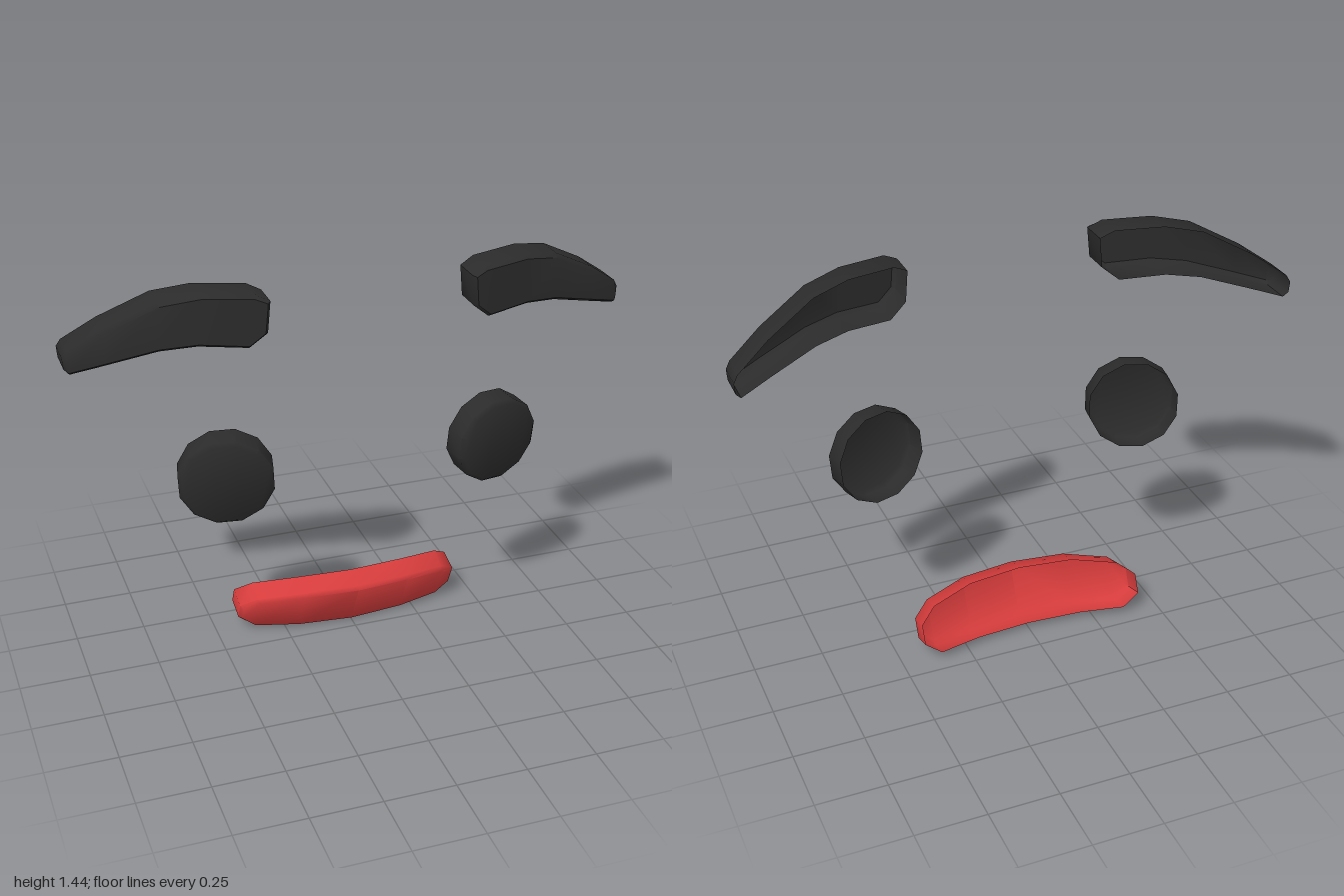
import * as THREE from 'three';
import { toCreasedNormals } from 'three/addons/utils/BufferGeometryUtils.js';

// Open-backed shell: a wall swept from a back rim to a bevelled front cap.
// outline: counter-clockwise [x, y] loop where point i lies opposite point n-1-i
// frontZ(x, y): shape of the front face; back: offset from front to back rim
function shell(outline, frontZ, back, bevel) {
  const n = outline.length;
  const inset = outline.map(([x, y], i) => {
    const [px, py] = outline[(i + n - 1) % n];
    const [qx, qy] = outline[(i + 1) % n];
    const len = Math.hypot(qx - px, qy - py);
    return [x - (qy - py) / len * bevel, y + (qx - px) / len * bevel];
  });
  const positions = [];
  const addRing = (loop, t) => {
    for (const [x, y] of loop) {
      positions.push(x + back[0] * t, y + back[1] * t, frontZ(x, y) + back[2] * t);
    }
  };
  addRing(outline, 1);
  addRing(outline, 0.14);
  addRing(inset, 0);

  const index = [];
  const quad = (a, b, c, d) => index.push(a, b, c, a, c, d);
  // wall and bevel
  for (let r = 0; r < 2; r++) {
    for (let i = 0; i < n; i++) {
      const j = (i + 1) % n;
      quad(r * n + i, r * n + j, (r + 1) * n + j, (r + 1) * n + i);
    }
  }
  // front cap, as a strip between opposite points
  for (let i = 0; i < n / 2 - 1; i++) {
    quad(2 * n + i, 2 * n + i + 1, 3 * n - 2 - i, 3 * n - 1 - i);
  }
  const geometry = new THREE.BufferGeometry();
  geometry.setAttribute('position', new THREE.Float32BufferAttribute(positions, 3));
  geometry.setIndex(index);
  return toCreasedNormals(geometry, 0.9);
}

export function createModel() {
  const group = new THREE.Group();
  const black = new THREE.MeshStandardMaterial({ color: 0x2b2b2b, side: THREE.DoubleSide });
  black.name = 'charcoal';
  const red = new THREE.MeshStandardMaterial({ color: 0xd63c3c, side: THREE.DoubleSide });
  red.name = 'red';

  const add = (name, geometry, material) => {
    const mesh = new THREE.Mesh(geometry, material);
    mesh.name = name;
    group.add(mesh);
  };
  // builds a part on both sides, mirrored in x
  const addPair = (name, outline, frontZ, back, bevel) => {
    add('left' + name, shell(outline, frontZ, back, bevel), black);
    const mirrored = outline.map(([x, y]) => [-x, y]).reverse();
    add('right' + name,
      shell(mirrored, (x, y) => frontZ(-x, y), [-back[0], back[1], back[2]], bevel), black);
  };

  // eyebrows: lower edge outwards, then upper edge back
  const brow = [
    [0.36, 1.31], [0.42, 1.26], [0.58, 1.27], [0.7, 1.255], [0.87, 1.205], [0.98, 1.172], [0.997, 1.19],
    [1.0, 1.23], [0.985, 1.255], [0.87, 1.335], [0.7, 1.425], [0.57, 1.45], [0.4, 1.445], [0.35, 1.42],
  ];
  const browZ = (x) => 0.19 - 0.24 * (x - 0.38) - 0.12 * (x - 0.38) ** 2;
  addPair('Eyebrow', brow, browZ, [0, 0, -0.125], 0.012);

  // eyes: tilted twelve-sided discs
  const eye = [];
  for (let i = 0; i < 12; i++) {
    const a = (i / 12) * Math.PI * 2 + 0.2;
    eye.push([0.502 + 0.163 * Math.cos(a), 0.748 + 0.166 * Math.sin(a)]);
  }
  const eyeZ = (x, y) => 0.115 - 0.25 * (x - 0.502) + 0.1 * (y - 0.748);
  addPair('Eye', eye, eyeZ, [-0.02, 0.01, -0.09], 0.014);

  // mouth: curved back at the corners and leaning forward at the top
  const half = [[0.2, 0.007, 0.188], [0.36, 0.012, 0.165], [0.42, 0.06, 0.125]];
  const stations = [
    ...half.map(([x, b, t]) => [-x, b, t]).reverse(), [0, 0.004, 0.192], ...half,
  ];
  const mouth = [
    ...stations.map(([x, b]) => [x, b]),
    ...stations.map(([x, , t]) => [x, t]).reverse(),
  ];
  const mouthZ = (x, y) => 0.04 - 0.45 * x * x + 0.48 * (y - 0.19);
  add('mouth', shell(mouth, mouthZ, [0, 0.028, -0.095], 0.012), red);

  return group;
}
